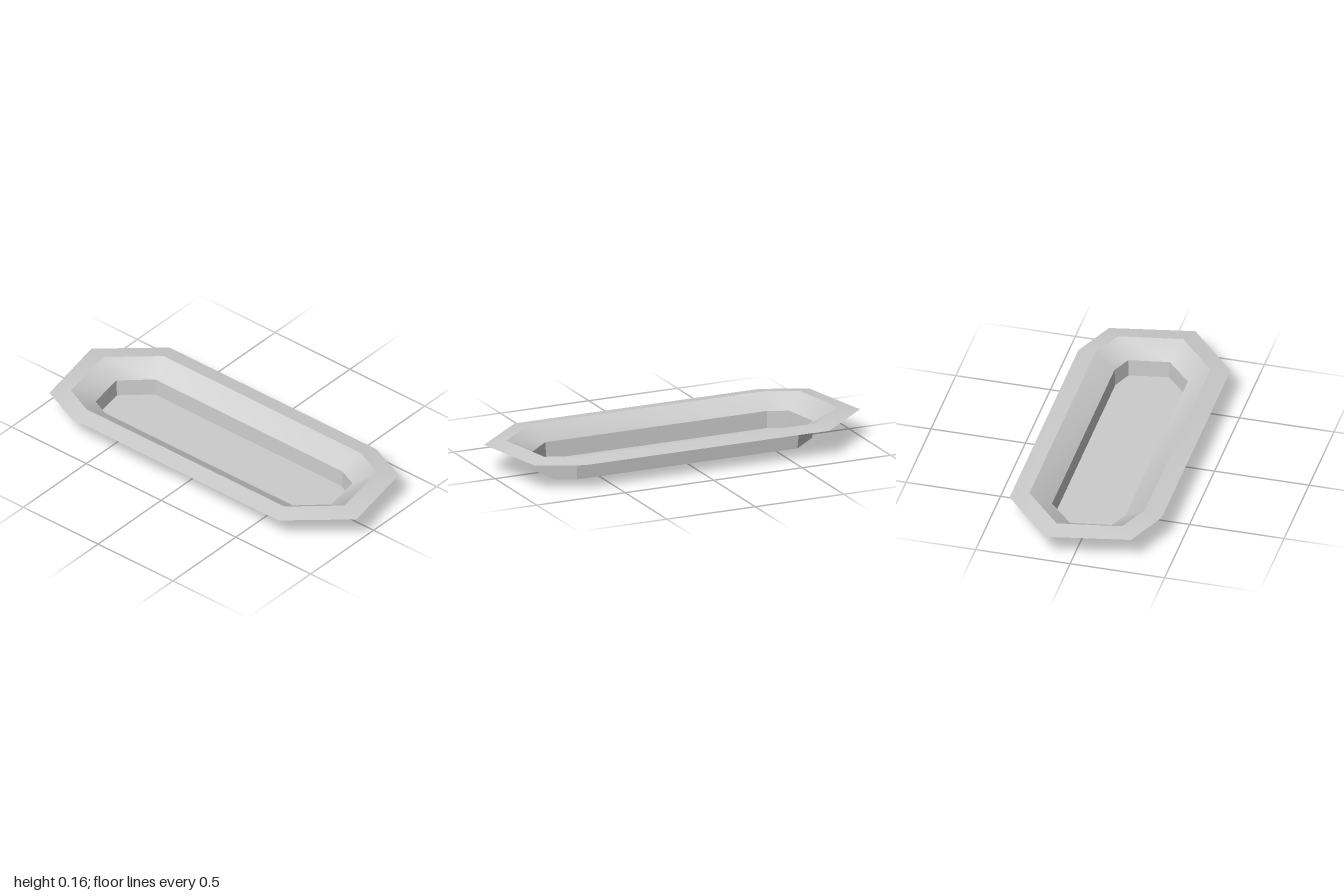
import * as THREE from 'three';
import { toCreasedNormals } from 'three/addons/utils/BufferGeometryUtils.js';

// Half of each octagonal outline as [x, z]; the other half is a half-turn of it
const outlines = {
  rimEdge: { y: 0.143, half: [[-0.70, -0.40], [0.68, -0.40], [0.915, -0.30], [1.0, 0.135]] },
  rimTop: { y: 0.16, half: [[-0.66, -0.305], [0.66, -0.305], [0.83, -0.23], [0.89, 0.10]] },
  wallTop: { y: 0.09, half: [[-0.625, -0.195], [0.63, -0.195], [0.733, -0.15], [0.77, 0.06]] },
  floor: { y: 0, half: [[-0.62, -0.19], [0.625, -0.19], [0.728, -0.147], [0.765, 0.058]] },
};

function ring({ y, half }) {
  const turned = half.map(([x, z]) => [-x, -z]);
  return [...half, ...turned].map(([x, z]) => new THREE.Vector3(x, y, z));
}

// Strip of quads between two rings, front side facing up and inwards
function band(outer, inner, creaseAngle) {
  const points = [];
  outer.forEach((o, i) => {
    const j = (i + 1) % outer.length;
    points.push(o, inner[i], inner[j], o, inner[j], outer[j]);
  });
  return toCreasedNormals(new THREE.BufferGeometry().setFromPoints(points), creaseAngle);
}

export function createModel() {
  const group = new THREE.Group();
  group.name = 'tray';
  const material = new THREE.MeshStandardMaterial({ color: 0xcccccc, side: THREE.DoubleSide });
  const add = (name, geometry) => {
    const mesh = new THREE.Mesh(geometry, material);
    mesh.name = name;
    group.add(mesh);
  };

  const rimEdge = ring(outlines.rimEdge);
  const rimTop = ring(outlines.rimTop);
  const wallTop = ring(outlines.wallTop);
  const floor = ring(outlines.floor);

  // Flared rim, sloping basin and steep lower wall
  add('rim', band(rimEdge, rimTop, 0.6));
  add('slopingBasin', band(rimTop, wallTop, 0.7));
  add('lowerWall', band(wallTop, floor, 0.2));

  // Flat bottom
  const shape = new THREE.Shape(floor.map((p) => new THREE.Vector2(p.x, -p.z)));
  add('floor', new THREE.ShapeGeometry(shape).rotateX(-Math.PI / 2));

  return group;
}
